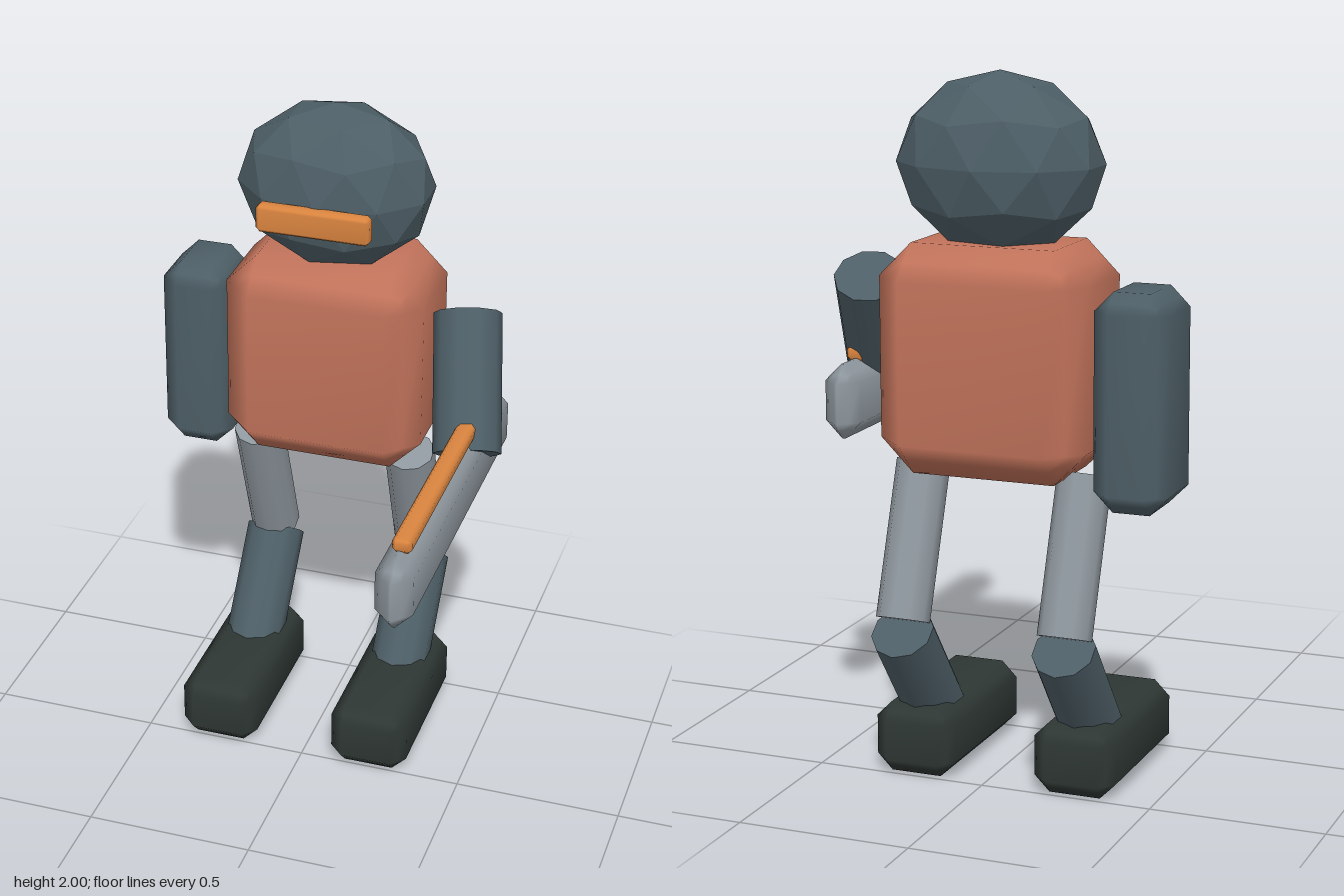
import * as THREE from 'three';
import { mergeVertices } from 'three/addons/utils/BufferGeometryUtils.js';

const mat = (name, color) => {
  const m = new THREE.MeshStandardMaterial({ color });
  m.name = name;
  return m;
};

// Box with flat chamfers of size r and softly blended normals, from min to max corner
function chamferBox(min, max, r) {
  const half = max.map((v, i) => (v - min[i]) / 2);
  let g = new THREE.BoxGeometry(1, 1, 1, 3, 3, 3);
  const p = g.attributes.position;
  for (let i = 0; i < p.count; i++) {
    const v = [p.getX(i), p.getY(i), p.getZ(i)];
    const outer = v.filter((c) => Math.abs(c) > 0.4).length;
    const inset = [0, 0, r / 2, (r * 2) / 3][outer];
    const q = v.map((c, k) => Math.sign(c) * (half[k] - (Math.abs(c) > 0.4 ? inset : r)));
    p.setXYZ(i, ...q);
  }
  g.deleteAttribute('uv');
  g.deleteAttribute('normal');
  g = mergeVertices(g, 1e-5);
  g.computeVertexNormals();
  g.translate(...max.map((v, i) => (v + min[i]) / 2));
  return g;
}

// Ten-sided limb between two points
function limb(a, b, r) {
  const from = new THREE.Vector3(...a), to = new THREE.Vector3(...b);
  const dir = to.clone().sub(from);
  const g = new THREE.CylinderGeometry(r, r, dir.length(), 10);
  g.applyQuaternion(new THREE.Quaternion().setFromUnitVectors(
    new THREE.Vector3(0, 1, 0), dir.clone().normalize()));
  const mid = from.add(to).multiplyScalar(0.5);
  return g.translate(mid.x, mid.y, mid.z);
}

export function createModel() {
  const group = new THREE.Group();
  const rust = mat('rust', 0xc0725a);
  const slate = mat('slate', 0x4d5e66);
  const dark = mat('charcoal', 0x2e3734);
  const steel = mat('steel', 0x8f989f);
  const orange = mat('orange', 0xd9843f);
  const add = (name, geometry, material) => {
    const m = new THREE.Mesh(geometry, material);
    m.name = name;
    group.add(m);
  };

  // Body
  add('torso', chamferBox([-0.33, 0.9, -0.64], [0.275, 1.54, -0.2], 0.095), rust);

  // Faceted head with a vertex at the crown, and its visor
  const head = new THREE.IcosahedronGeometry(1, 1);
  head.rotateZ(Math.atan(2 / (1 + Math.sqrt(5)))).rotateY(Math.PI);
  head.scale(0.295, 0.25, 0.215).translate(-0.028, 1.75, -0.41);
  head.computeVertexNormals(); // non-indexed, so the facets stay flat
  add('head', head, slate);
  add('visor', chamferBox([-0.197, 1.675, -0.215], [0.142, 1.76, -0.168], 0.012), orange);

  // Arms: a block on the right, a raised limb on the left
  add('rightArm', chamferBox([-0.56, 0.84, -0.59], [-0.345, 1.44, -0.32], 0.055), slate);
  add('leftArm', limb([0.385, 1.41, -0.378], [0.455, 1.078, -0.145], 0.1), slate);

  // Long tool held forward, with a rail on top
  add('toolBody', chamferBox([0.4, 0.945, -0.465], [0.508, 1.16, 0.64], 0.05), steel);
  add('toolRail', chamferBox([0.43, 1.15, -0.33], [0.486, 1.195, 0.547], 0.012), orange);

  // Legs
  for (const [side, x] of [['right', -0.27], ['left', 0.212]]) {
    add(side + 'Thigh', limb([x, 0.9, -0.403], [x, 0.478, -0.555], 0.076), steel);
    add(side + 'Shin', limb([x, 0.445, -0.56], [x, 0.13, -0.315], 0.09), slate);
    add(side + 'Foot', chamferBox([x - 0.12, 0, -0.52], [x + 0.12, 0.205, 0.03], 0.045), dark);
  }
  return group;
}
